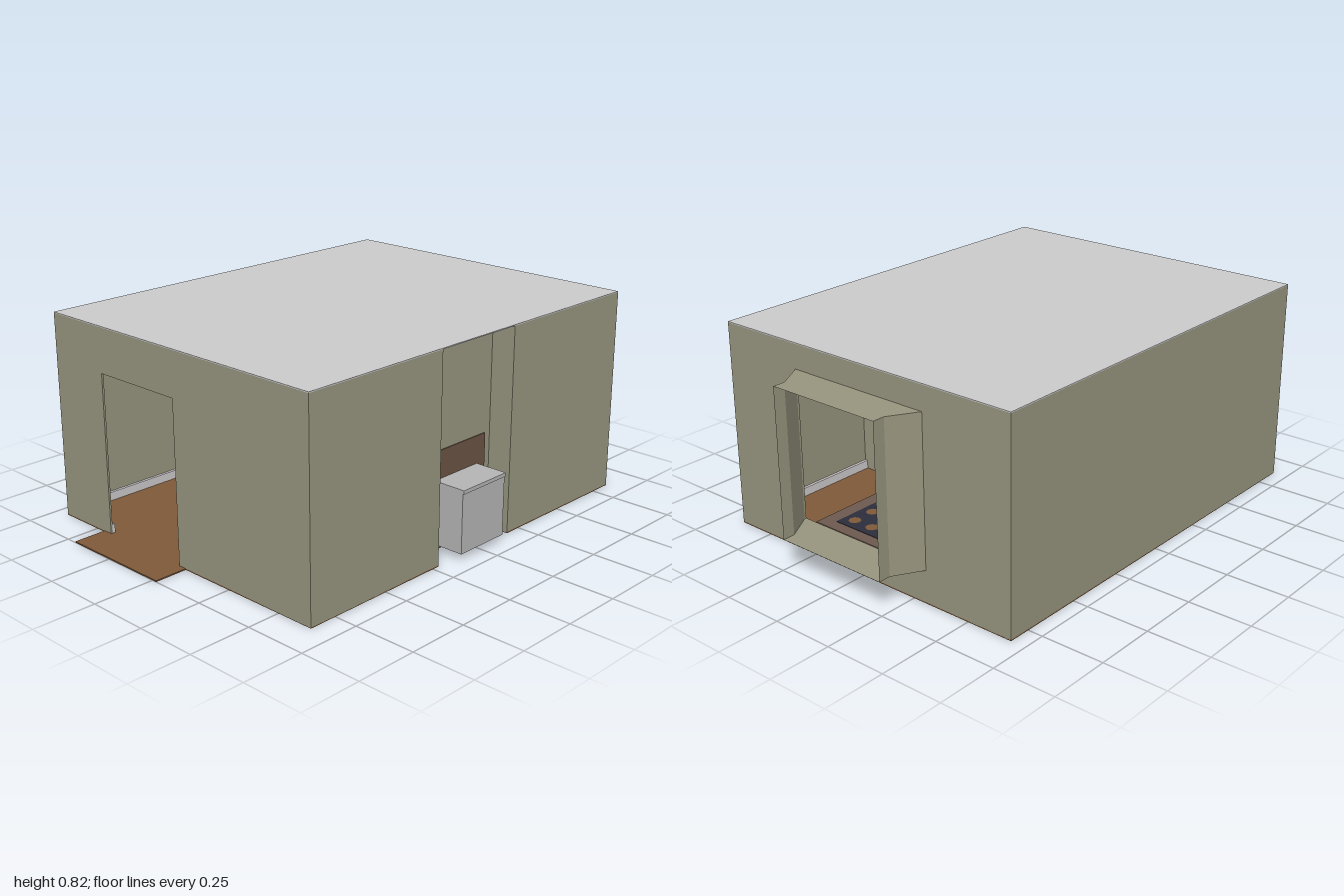
import * as THREE from 'three';

const mat = (name, color) => {
  const m = new THREE.MeshStandardMaterial({ color });
  m.name = name;
  return m;
};

export function createModel() {
  const room = new THREE.Group();
  room.name = 'room';
  const wall = mat('olive wall', 0x98967f);
  wall.side = THREE.DoubleSide;
  const ceilingGrey = mat('ceiling grey', 0xcccccc);
  const wood = mat('floor wood', 0x805a3a);
  const brick = mat('hearth brown', 0x6c5444);
  const metal = mat('stove grey', 0xb6b6b6);
  const trim = mat('trim white', 0xcfcbcc);
  const rugBase = mat('rug taupe', 0x6e5a50);
  const rugDark = mat('rug navy', 0x2d2e3c);
  const soot = mat('soot black', 0x2a2a2a);

  const L = -0.69, R = 0.655, B = -0.84, F = 0.865, H = 0.82, T = 0.008;
  const N = 0.555, NB = -0.18, NF = 0.22; // chimney niche: back plane and z range

  const add = (name, geo, material, parent = room) => {
    const m = new THREE.Mesh(geo, material);
    m.name = name;
    parent.add(m);
    return m;
  };
  // Box given by its limits on each axis
  const block = (name, material, x0, x1, y0, y1, z0, z1) => {
    const m = add(name, new THREE.BoxGeometry(x1 - x0, y1 - y0, z1 - z0), material);
    m.position.set((x0 + x1) / 2, (y0 + y1) / 2, (z0 + z1) / 2);
    return m;
  };
  const polygon = pts => new THREE.Shape(pts.map(p => new THREE.Vector2(...p)));
  const slab = (shape, depth) => new THREE.ExtrudeGeometry(shape, { depth, bevelEnabled: false });

  // Floor with porch tongue and chimney notch, drawn in (x, -z)
  const floor = slab(polygon([
    [L, -F], [-0.455, -F], [-0.455, -1], [0.02, -1], [0.02, -F], [R, -F],
    [R, -NF], [N, -NF], [N, -NB], [R, -NB], [R, -B], [L, -B],
  ]), 0.005).rotateX(-Math.PI / 2);
  add('floor', floor, wood);
  block('ceiling', ceilingGrey, L, R, H - 0.004, H, B, F);

  // Front wall with doorway
  const top = H - 0.004;
  add('frontWall', slab(polygon([
    [L, 0], [-0.415, 0], [-0.415, 0.64], [-0.015, 0.64], [-0.015, 0], [R, 0], [R, top], [L, top],
  ]), T), wall).position.z = F - T;

  // Back wall with window opening
  const backShape = polygon([[L, 0], [R, 0], [R, top], [L, top]]);
  backShape.holes.push(new THREE.Path(
    [[-0.31, 0.13], [-0.31, 0.72], [0.3, 0.72], [0.3, 0.13]].map(p => new THREE.Vector2(...p))));
  add('backWall', slab(backShape, T), wall).position.z = B;

  // Side walls and chimney niche
  block('rightWall', wall, L, L + T, 0, top, B + T, F - T);
  block('leftWallFront', wall, R - T, R, 0, top, NF, F - T);
  block('leftWallBack', wall, R - T, R, 0, top, B + T, NB);
  block('nicheBack', wall, N - T, N, 0, top, NB, NF);
  block('nicheSideFront', wall, N - T, R - T, 0, top, NF, NF + T);
  block('nicheSideBack', wall, N - T, R - T, 0, top, NB - T, NB);

  // Window bay: open tube that narrows, then runs straight
  const rings = [[-0.31, 0.3, B], [-0.245, 0.235, -0.95], [-0.245, 0.235, -1]];
  const pos = [];
  const corners = ([x0, x1, z]) => [[x0, 0.13, z], [x1, 0.13, z], [x1, 0.72, z], [x0, 0.72, z]];
  for (let i = 0; i < 2; i++) {
    const a = corners(rings[i]), b = corners(rings[i + 1]);
    for (let j = 0; j < 4; j++) {
      const k = (j + 1) % 4;
      pos.push(...a[j], ...a[k], ...b[k], ...a[j], ...b[k], ...b[j]);
    }
  }
  const bay = new THREE.BufferGeometry();
  bay.setAttribute('position', new THREE.Float32BufferAttribute(pos, 3));
  bay.computeVertexNormals();
  add('windowBay', bay, wall);

  // Skirting boards inside
  const S = 0.012, y0 = 0.005, y1 = 0.04;
  block('skirtingBack', trim, L + T, R - T, y0, y1, B + T, B + T + S);
  block('skirtingRight', trim, L + T, L + T + S, y0, y1, B + T, F - T);
  block('skirtingLeftFront', trim, R - T - S, R - T, y0, y1, NF + T, F - T);
  block('skirtingLeftBack', trim, R - T - S, R - T, y0, y1, B + T, NB - T);
  block('skirtingFrontA', trim, L + T, -0.415, y0, y1, F - T - S, F - T);
  block('skirtingFrontB', trim, -0.015, R - T, y0, y1, F - T - S, F - T);

  // Fireplace: brown rear panel, stepped surround, stove body through the wall
  block('hearthPanel', brick, N - 0.004, N + 0.004, 0.002, 0.39, -0.15, 0.18);
  for (let i = 0; i < 3; i++) {
    const half = 0.165 - i * 0.025, h = 0.39 - i * 0.035, w = 0.025;
    const s = polygon([
      [-half, y0], [-half + w, y0], [-half + w, h - w], [half - w, h - w],
      [half - w, y0], [half, y0], [half, h], [-half, h],
    ]);
    const frame = add('fireplaceFrame', slab(s, 0.03 - i * 0.008), i === 1 ? metal : trim);
    frame.rotation.y = -Math.PI / 2;
    frame.position.set(N - T, 0, 0.015);
  }
  block('fireOpening', soot, N - T - 0.004, N - T, y0, 0.3, -0.075, 0.105);
  block('stoveBody', metal, N, 0.69, 0.03, 0.265, -0.105, 0.135);
  block('stoveLid', metal, N, 0.695, 0.265, 0.28, -0.105, 0.135);

  // Rug with a dark dotted field
  block('rug', rugBase, -0.25, 0.43, y0, 0.009, -0.67, -0.28);
  block('rugField', rugDark, -0.19, 0.37, 0.009, 0.011, -0.62, -0.33);
  for (let i = 0; i < 6; i++) for (let j = 0; j < 3; j++) {
    const dot = add('rugSpot', new THREE.CircleGeometry(0.026, 8), wood);
    dot.rotation.x = -Math.PI / 2;
    dot.position.set(-0.14 + i * 0.092, 0.012, -0.57 + j * 0.095);
  }
  return room;
}
